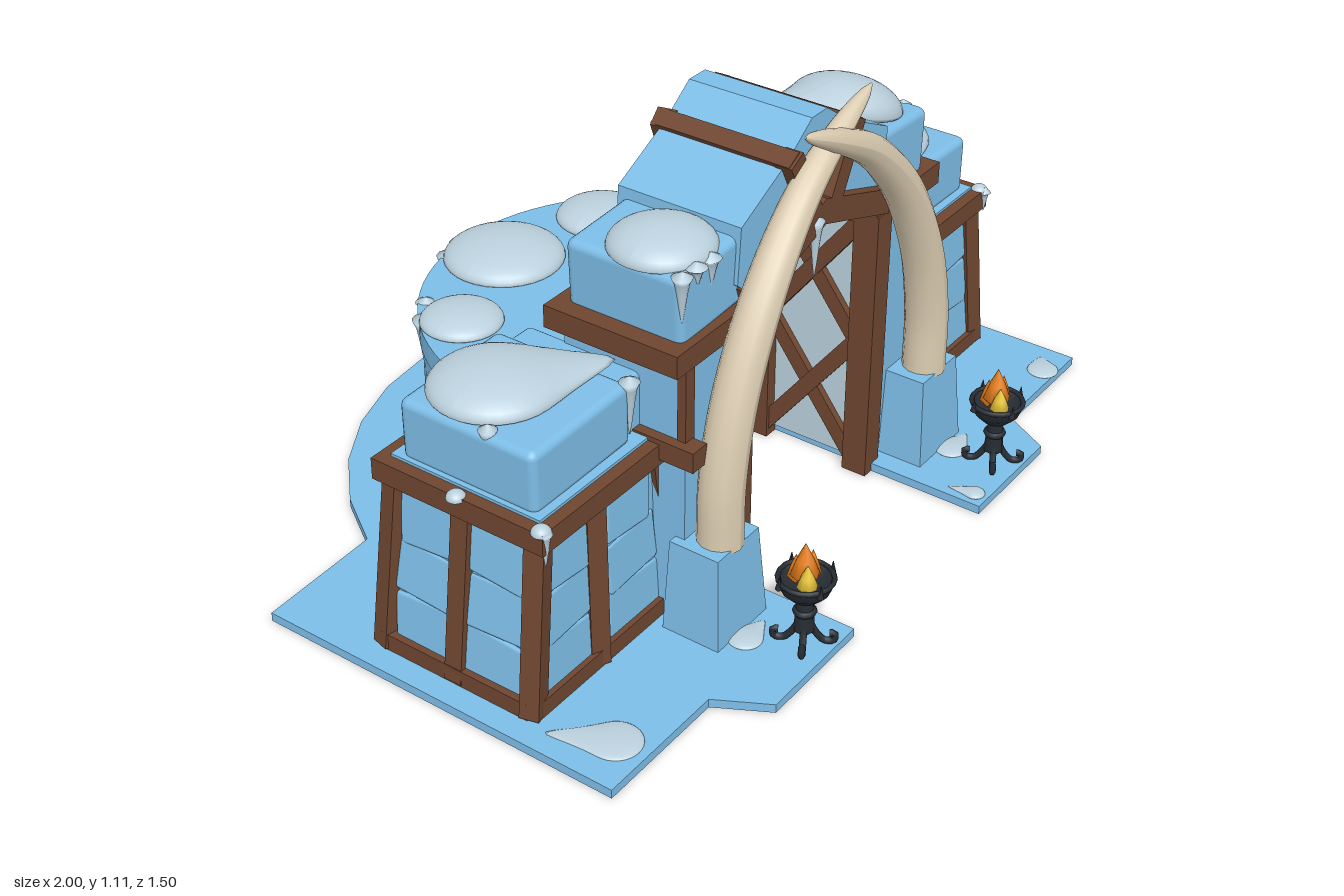
import * as THREE from 'three';
import { RoundedBoxGeometry } from 'three/addons/geometries/RoundedBoxGeometry.js';

const mat = (name, color, side = THREE.FrontSide) => {
  const m = new THREE.MeshStandardMaterial({ color, side });
  m.name = name;
  return m;
};

export function createModel() {
  const ice = mat('ice blue', 0x7fc0ea, THREE.DoubleSide), wood = mat('brown wood', 0x6e4630, THREE.DoubleSide);
  const snow = mat('snow', 0xbbd1dd), ivory = mat('ivory', 0xdccdb2);
  const dark = mat('dark cave', 0x424e5a, THREE.DoubleSide), iron = mat('black iron', 0x262c33);
  const orange = mat('orange flame', 0xf08420), yellow = mat('yellow flame', 0xf0cc3a);
  const root = new THREE.Group();
  const V = (x, y, z) => new THREE.Vector3(x, y, z);
  const lathe = (pts, n) => new THREE.LatheGeometry(pts.map((q) => new THREE.Vector2(...q)), n);

  const add = (name, geo, m, x = 0, y = 0, z = 0, parent = root) => {
    const mesh = new THREE.Mesh(geo, m);
    mesh.name = name;
    mesh.position.set(x, y, z);
    parent.add(mesh);
    return mesh;
  };
  // Box given by its limits
  const box = (name, m, x0, x1, y0, y1, z0, z1, r = 0) => {
    const d = [Math.abs(x1 - x0), y1 - y0, z1 - z0];
    const g = r ? new RoundedBoxGeometry(...d, 2, r) : new THREE.BoxGeometry(...d);
    return add(name, g, m, (x0 + x1) / 2, (y0 + y1) / 2, (z0 + z1) / 2);
  };
  // Square timber between two points
  const beam = (name, a, b, w = 0.05, d = w) => {
    const mesh = add(name, new THREE.BoxGeometry(w, d, a.distanceTo(b)), wood);
    mesh.position.copy(a).lerp(b, 0.5);
    mesh.lookAt(b);
    return mesh;
  };
  // Box without a bottom, narrowed towards the top
  const taperedBox = (w, h, d, kx, kz, dz = 0) => {
    const g = new THREE.BoxGeometry(w, h, d), p = g.attributes.position;
    g.setIndex([...g.index.array].filter((_, i) => i < 18 || i > 23));
    for (let i = 0; i < p.count; i++) {
      const t = p.getY(i) / h + 0.5;
      p.setX(i, p.getX(i) * (1 + (kx - 1) * t));
      p.setZ(i, p.getZ(i) * (1 + (kz - 1) * t) + dz * t);
    }
    g.computeVertexNormals();
    return g;
  };
  // Grid surface from a rule f(u, v)
  const surface = (name, m, nu, nv, f) => {
    const pos = [], idx = [];
    for (let j = 0; j <= nv; j++) for (let i = 0; i <= nu; i++) pos.push(...f(i / nu, j / nv));
    for (let j = 0; j < nv; j++) for (let i = 0; i < nu; i++) {
      const a = j * (nu + 1) + i, b = a + nu + 1;
      idx.push(a, b, a + 1, a + 1, b, b + 1);
    }
    const g = new THREE.BufferGeometry();
    g.setAttribute('position', new THREE.Float32BufferAttribute(pos, 3));
    g.setIndex(idx);
    g.computeVertexNormals();
    return add(name, g, m);
  };
  // Flat slab from a plan outline of [x, z]
  const slab = (name, m, pts, y, h) => {
    const s = new THREE.Shape(pts.map(([x, z]) => new THREE.Vector2(x, -z)));
    const g = new THREE.ExtrudeGeometry(s, { depth: h, bevelEnabled: false });
    return add(name, g.rotateX(-Math.PI / 2), m, 0, y, 0);
  };
  // Half-ellipse in plan, from +x round the back to -x
  const arc = (rx, rz, cz, n, a0 = 0, a1 = Math.PI) => Array.from({ length: n + 1 }, (_, i) => {
    const a = a0 + (a1 - a0) * i / n;
    return [rx * Math.cos(a), cz - rz * Math.sin(a)];
  });

  // Ground plate, open beneath the building
  const inside = [[0.28, 0.42], [0.46, 0.42], [0.46, 0.34], [0.9, 0.34], [0.9, -0.04]];
  slab('groundPlate', ice, [[0.28, 0.745], [0.59, 0.745], [0.66, 0.62], [1, 0.62], [1, -0.33],
    ...arc(0.755, 0.755, 0, 10, 0.47, Math.PI - 0.47), [-1, -0.33], [-1, 0.62], [-0.66, 0.62],
    [-0.59, 0.745], [-0.28, 0.745], ...inside.map(([x, z]) => [-x, z]),
    ...arc(0.48, 0.5, -0.05, 24).reverse(), ...inside.slice().reverse()], 0, 0.022);

  // Curved back wall: outer face, base band, coping
  const outer = (k, y0, y1) => (u, v) => {
    const a = Math.PI * u;
    return [0.52 * k * Math.cos(a), y0 + (y1 - y0) * v, -0.05 - 0.53 * k * Math.sin(a)];
  };
  surface('wallOuter', ice, 40, 1, outer(0.985, 0.02, 0.4));
  surface('wallBaseBand', wood, 40, 1, outer(1.01, 0.022, 0.065));
  surface('wallBandTop', wood, 40, 1, (u, v) => outer(1.01 - 0.03 * v, 0.065, 0.065)(u, 0));
  slab('wallCoping', ice, [[0.5, 0.12], ...arc(0.52, 0.53, -0.05, 40), [-0.5, 0.12],
    ...arc(0.31, 0.31, 0.12, 32).reverse()], 0.385, 0.06);

  // Inner wall with a bulging cave niche
  const onWall = (a, y, r) => [r * Math.sin(a), y, 0.12 - r * Math.cos(a)];
  const rim = (t) => {
    const c = Math.cos(t), s = Math.sin(t), q = Math.pow(c ** 4 + s ** 4, -0.25);
    return [c * q * 1.02, 0.187 + s * q * 0.183];
  };
  surface('wallInner', ice, 64, 4, (u, v) => {
    const t = u * Math.PI * 2, c = Math.cos(t), s = Math.sin(t), k = 1 / Math.max(Math.abs(c), Math.abs(s));
    const [a, y] = rim(t), b = c * k * Math.PI / 2, h = 0.2 + s * k * 0.2;
    return onWall(a + (b - a) * v, y + (h - y) * v, 0.31);
  });
  surface('caveNiche', dark, 48, 12, (u, v) => {
    const [a, y] = rim(u * Math.PI * 2), s = Math.sin(v * Math.PI / 2);
    return onWall(a * s, 0.187 + (y - 0.187) * s, 0.31 + 0.19 * Math.cos(v * Math.PI / 2));
  });

  for (const s of [1, -1]) {
    // Side tower: tapered core, timber frame, stones
    add('towerBody', taperedBox(0.5, 0.42, 0.41, 0.8, 0.93), ice, s * 0.67, 0.23, 0.15);
    const P = (i, k, t) => V(s * (0.67 + i * (0.25 - 0.05 * t)), 0.025 + 0.42 * t, 0.15 + k * (0.203 - 0.013 * t));
    for (const [i, k] of [[1, 1], [1, -1], [-1, 1], [-1, -1], [0.12, 1], [0.12, -1], [1, 0]])
      beam('towerPost', P(i, k, 0), P(i, k, 1), 0.046);
    for (const k of [1, -1]) beam('towerSill', P(-1, k, 0.04), P(1.06, k, 0.04), 0.044);
    beam('towerSill', P(1, -1, 0.04), P(1, 1, 0.04), 0.044);
    box('towerTopBeam', wood, s * 0.405, s * 0.905, 0.44, 0.493, -0.08, 0.38);
    box('towerTopInfill', ice, s * 0.435, s * 0.875, 0.48, 0.5, -0.05, 0.35);
    for (let row = 0; row < 3; row++) {
      const t = 0.2 + row * 0.3, tilt = [0.07, -0.06, 0.08][row];
      for (const k of [1, -1]) {
        const p = P(1, k * 0.48, t);
        const side = add('towerStone', new RoundedBoxGeometry(0.04, 0.128, 0.165, 1, 0.008), ice, p.x - s * 0.012, p.y, p.z);
        side.rotation.set(tilt * k, 0, s * (0.12 + 0.05 * (row % 2)));
        for (const i of [0.56, -0.44]) {
          const f = P(i, k, t);
          const st = add('towerStone', new RoundedBoxGeometry(0.19 - 0.02 * row, 0.128, 0.04, 1, 0.008), ice, f.x, f.y, f.z - k * 0.012);
          st.rotation.set(-k * 0.06, 0, tilt * s);
        }
      }
    }
    box('towerUpperBlock', ice, s * 0.54, s * 0.865, 0.49, 0.645, -0.03, 0.33, 0.02).rotation.z = s * -0.02;
    box('towerSmallBlock', ice, s * 0.47, s * 0.56, 0.49, 0.635, 0.0, 0.31, 0.015);

    // Gate pier with pale infill and bracing on the passage side
    add('gatePier', taperedBox(0.195, 0.72, 0.32, 1, 1), ice, s * 0.3875, 0.36, 0.27);
    box('passageInfill', snow, s * 0.282, s * 0.289, 0.02, 0.69, 0.13, 0.41);
    for (const z of [0.124, 0.412]) box('gatePost', wood, s * 0.25, s * 0.31, 0, 0.72, z - 0.033, z + 0.033);
    box('pierOuterPost', wood, s * 0.455, s * 0.487, 0.45, 0.72, 0.41, 0.432);
    for (let i = 0; i < 2; i++) {
      const y = 0.03 + i * 0.33;
      beam('passageBrace', V(s * 0.28, y, 0.14), V(s * 0.28, y + 0.33, 0.39), 0.04);
      beam('passageBrace', V(s * 0.284, y, 0.39), V(s * 0.284, y + 0.33, 0.14), 0.04);
    }
    box('pierBelt', wood, s * 0.46, s * 0.51, 0.455, 0.505, 0.1, 0.468);
    box('pierTopBeam', wood, s * 0.25, s * 0.53, 0.69, 0.745, 0.09, 0.44);
    box('pierUpperBlock', ice, s * 0.265, s * 0.49, 0.735, 0.905, 0.12, 0.42, 0.02).rotation.z = s * -0.05;

    // Gable timbers, leaning out at the back ridge
    beam('gableRafter', V(s * 0.28, 0.757, 0.435), V(s * -0.01, 0.858, 0.435), 0.045, 0.06);
    beam('gableRafter', V(s * 0.28, 0.757, 0.132), V(s * -0.01, 0.858, 0.09), 0.045, 0.06);
    beam('gableStrut', V(s * 0.04, 0.865, 0.435), V(s * 0.125, 1.03, 0.435), 0.045, 0.05);
    beam('gableStrut', V(s * 0.04, 0.865, 0.09), V(s * 0.125, 1.03, 0.11), 0.045, 0.05);
    beam('roofStrap', V(s * 0.12, 1.018, 0.09), V(s * 0.12, 1.018, 0.45), 0.045, 0.03).rotation.z = s * -0.5;

    // Tusk pedestal and tusk
    add('tuskPedestal', taperedBox(0.19, 0.24, 0.15, 0.82, 0.85, -0.005), ice, s * 0.43, 0.13, 0.475);
    const tz = s > 0 ? 0.012 : 0;
    const path = new THREE.CatmullRomCurve3([V(-0.432, 0.24, 0.487), V(-0.428, 0.4, 0.487), V(-0.385, 0.59, 0.487),
      V(-0.285, 0.79, 0.485), V(-0.13, 0.955, 0.475 + tz), V(0.02, 1.045, 0.468 + tz * 2), V(0.15, 1.105, 0.465 + tz * 2)]
      .map((p) => V(-s * p.x, p.y, p.z)));
    const tube = new THREE.TubeGeometry(path, 40, 1, 14), p = tube.attributes.position;
    for (let i = 0; i < p.count; i++) {
      const u = Math.floor(i / 15) / 40, c = path.getPointAt(u);
      const r = 0.053 * Math.sqrt(Math.max(0.003, 1 - u ** 2.4));
      p.setXYZ(i, c.x + (p.getX(i) - c.x) * r, c.y + (p.getY(i) - c.y) * r, c.z + (p.getZ(i) - c.z) * r);
    }
    tube.computeVertexNormals();
    add('tusk', tube, ivory);
  }

  // Gable roof
  const gable = new THREE.Shape([[0, 0.87], [0.27, 0.775], [0.3, 0.8], [0.29, 0.935], [0.12, 1.02], [0.03, 1.085],
    [-0.03, 1.085], [-0.12, 1.02], [-0.29, 0.935], [-0.3, 0.8], [-0.27, 0.775]].map((q) => new THREE.Vector2(...q)));
  add('gableRoof', new THREE.ExtrudeGeometry(gable, { depth: 0.32, bevelEnabled: false }), ice, 0, 0, 0.11);

  // Snow mounds: flattened spheres drawn out into a tail
  const mound = (x, y, z, r, h, tx = 0, tz = 0, slope = 0) => {
    const g = new THREE.SphereGeometry(1, 32, 18), p = g.attributes.position, len = Math.hypot(tx, tz);
    for (let i = 0; i < p.count; i++) {
      const px = p.getX(i), py = p.getY(i), pz = p.getZ(i);
      const d = len ? Math.max(0, (px * tx + pz * tz) / len) : 0, k = d ** 6;
      const X = r * px * (1 - 0.35 * k) + tx * k, Z = r * pz * (1 - 0.35 * k) + tz * k;
      p.setXYZ(i, X, py * h * (py < 0 ? 0.4 : 1) * (1 - 0.5 * k) + slope * X, Z);
    }
    g.computeVertexNormals();
    add('snowMound', g, snow, x, y, z);
  };
  mound(-0.03, 0.45, -0.44, 0.15, 0.05);
  mound(-0.32, 0.45, -0.33, 0.1, 0.035);
  mound(0.27, 0.45, -0.37, 0.115, 0.04, 0.13, 0.1);
  mound(-0.49, 0.44, -0.2, 0.03, 0.02, 0.01, -0.05);
  mound(-0.72, 0.65, 0.11, 0.145, 0.055, 0.15, 0.09);
  mound(0.7, 0.65, 0.15, 0.145, 0.055, -0.13, 0.12);
  mound(-0.39, 0.9, 0.3, 0.12, 0.052);
  mound(0.36, 0.92, 0.28, 0.13, 0.075, -0.24, -0.04, -0.28);
  mound(-0.6, 0.497, -0.06, 0.055, 0.02, -0.1, 0);
  mound(0, 0.86, 0.085, 0.045, 0.025);
  for (const s of [1, -1]) for (const [x, z] of [[0.89, 0.365], [0.9, 0.15]])
    mound(s * x, 0.487, z, 0.022, 0.018);
  // Snow patches on the ground
  for (const [x, z, r, tx, tz] of [[-0.88, 0.54, 0.06, -0.05, -0.1], [0.9, 0.585, 0.04, 0.03, -0.02],
    [0.32, 0.71, 0.025, -0.01, -0.05], [-0.45, 0.57, 0.04, 0.05, 0], [0.45, 0.57, 0.04, 0.05, 0]])
    mound(x, 0.023, z, r, 0.01, tx, tz);

  // Icicles flared at the root: [x, top, z, length, radius]
  for (const [x, y, z, l, r] of [[-0.03, 0.45, -0.572, 0.35, 0.026], [-0.1, 0.45, -0.56, 0.16, 0.022],
    [0.05, 0.45, -0.566, 0.13, 0.022], [-0.36, 0.45, -0.41, 0.17, 0.022], [-0.3, 0.45, -0.46, 0.1, 0.018],
    [0.325, 0.45, -0.445, 0.26, 0.024], [0.44, 0.45, -0.3, 0.2, 0.026], [0.39, 0.45, -0.38, 0.12, 0.02],
    [-0.48, 0.91, 0.415, 0.12, 0.017], [-0.38, 0.91, 0.415, 0.09, 0.018], [-0.43, 0.91, 0.415, 0.06, 0.018],
    [0.48, 0.9, 0.36, 0.07, 0.016], [0.485, 0.9, 0.22, 0.08, 0.015], [-0.85, 0.655, 0.2, 0.13, 0.015],
    [-0.54, 0.655, 0.325, 0.14, 0.017], [0.58, 0.655, 0.325, 0.14, 0.018], [0.66, 0.655, 0.325, 0.08, 0.016],
    [0.855, 0.655, 0.16, 0.1, 0.015], [-0.03, 0.85, 0.45, 0.15, 0.015], [0.01, 0.86, 0.08, 0.12, 0.015],
    [-0.89, 0.495, 0.375, 0.09, 0.012], [0.53, 0.495, 0.38, 0.09, 0.013], [0.89, 0.495, 0.38, 0.06, 0.012],
    [-0.6, 0.5, -0.08, 0.12, 0.018]])
    add('icicle', lathe([[0.001, -l], [r * 0.35, -l * 0.75], [r * 0.7, -l * 0.4], [r, -l * 0.17], [r * 1.4, -0.008], [0.001, 0.006]], 12), snow, x, y, z);

  // Fire bowls on curled legs
  for (const x of [-0.38, 0.465]) {
    const g = new THREE.Group();
    g.name = 'fireBowl';
    g.position.set(x, 0.022, 0.677);
    root.add(g);
    add('bowl', lathe([[0.001, 0.115], [0.03, 0.12], [0.055, 0.145], [0.066, 0.175], [0.058, 0.175], [0.045, 0.155], [0.001, 0.15]], 16), iron, 0, 0, 0, g);
    add('bowlRim', new THREE.TorusGeometry(0.062, 0.006, 6, 18).rotateX(Math.PI / 2), iron, 0, 0.175, 0, g);
    add('stem', new THREE.CylinderGeometry(0.017, 0.024, 0.09, 10), iron, 0, 0.08, 0, g);
    add('stemCollar', new THREE.TorusGeometry(0.02, 0.008, 6, 12).rotateX(Math.PI / 2), iron, 0, 0.085, 0, g);
    const leg = new THREE.CatmullRomCurve3([V(0.01, 0.06, 0), V(0.024, 0.03, 0), V(0.045, 0.008, 0), V(0.066, 0.01, 0),
      V(0.068, 0.028, 0), V(0.056, 0.028, 0)]);
    for (let i = 0; i < 4; i++) {
      const a = i * Math.PI / 2 + 0.5;
      add('curledLeg', new THREE.TubeGeometry(leg, 16, 0.008, 6), iron, 0, 0, 0, g).rotation.y = a;
      add('rimSpike', new THREE.ConeGeometry(0.009, 0.035, 5), iron, 0.066 * Math.cos(a), 0.182, 0.066 * Math.sin(a), g);
    }
    // Flames: [x, z, radius, height, colour]
    for (const [fx, fz, r, h, m] of [[0, -0.004, 0.033, 0.115, orange], [0.025, 0, 0.02, 0.085, orange], [-0.005, -0.024, 0.02, 0.08, orange],
      [-0.024, 0.018, 0.024, 0.08, yellow], [0.016, -0.028, 0.016, 0.06, yellow]])
      add('flame', lathe([[0, 0], [r, h * 0.3], [r * 0.6, h * 0.62], [0, h]], 8), m, fx, 0.15, fz, g);
  }
  return root;
}
